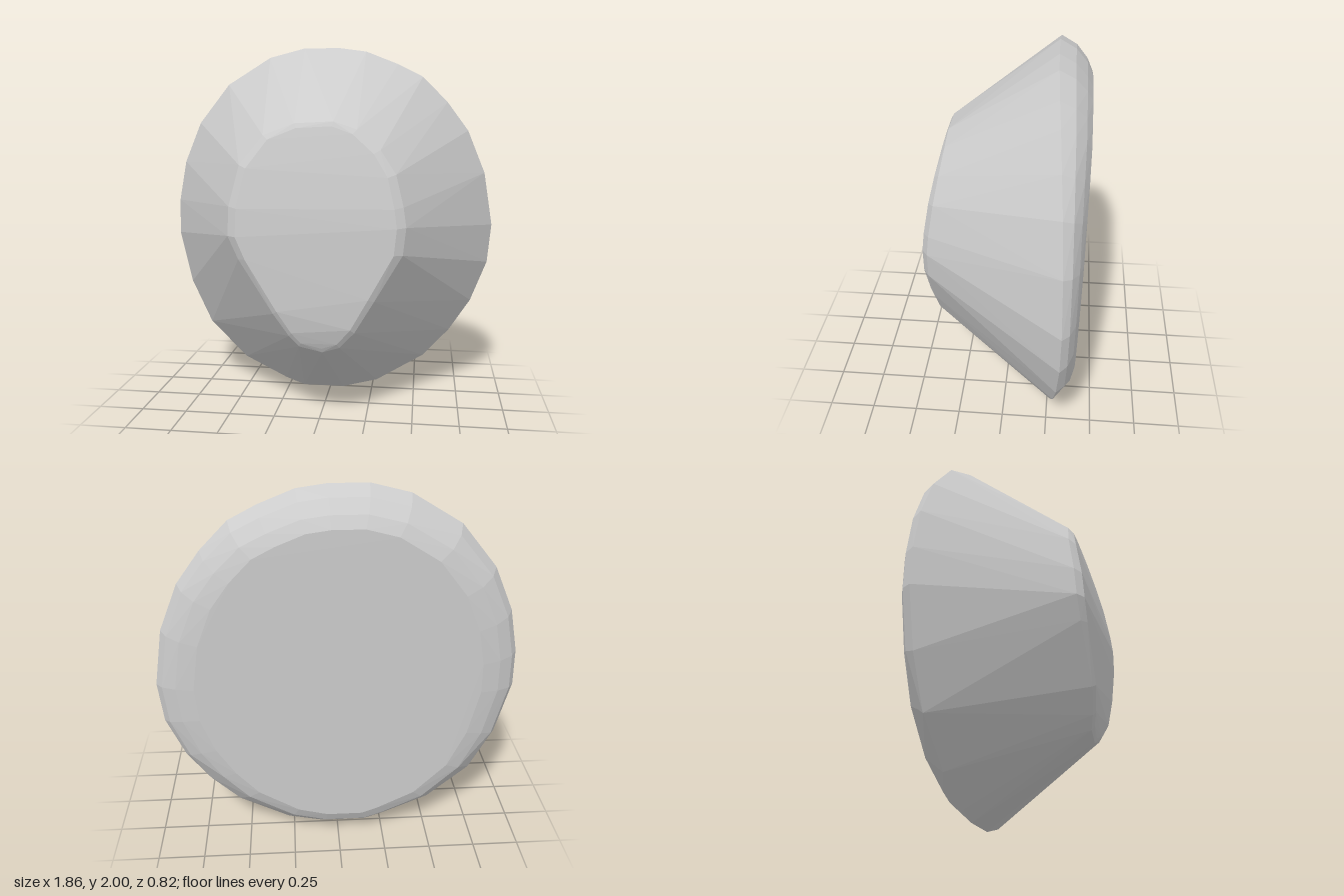
import * as THREE from 'three';
import { ConvexGeometry } from 'three/addons/geometries/ConvexGeometry.js';

// Outline of the wide rim, clockwise from the top (x, y)
const RIM = [
  [-0.15, 2], [0.05, 2], [0.2, 1.98], [0.38, 1.91], [0.52, 1.84], [0.66, 1.7], [0.78, 1.54],
  [0.88, 1.3], [0.93, 1], [0.91, 0.78], [0.82, 0.55], [0.7, 0.37], [0.55, 0.21], [0.28, 0.05],
  [0.08, 0], [-0.16, 0], [-0.27, 0.04], [-0.52, 0.16], [-0.74, 0.37], [-0.86, 0.62],
  [-0.93, 0.92], [-0.925, 1.12], [-0.88, 1.35], [-0.78, 1.58], [-0.6, 1.8], [-0.35, 1.95],
];

// Egg-shaped outline of the small front face (x, y)
const FACE = [
  [-0.12, 1.59], [0.08, 1.6], [0.2, 1.56], [0.32, 1.46], [0.4, 1.34], [0.44, 1.18],
  [0.455, 1.08], [0.44, 0.94], [0.3, 0.7], [0.2, 0.53], [0.12, 0.44], [0.03, 0.41],
  [-0.09, 0.44], [-0.14, 0.5], [-0.22, 0.62], [-0.4, 0.9], [-0.455, 1.02], [-0.45, 1.17],
  [-0.4, 1.38], [-0.28, 1.53],
];

// Front face bows back toward its top and bottom
function faceZ(y) {
  if (y > 1.04) return 0.41 - 0.1 * ((y - 1.04) / 0.55) ** 1.5;
  if (y < 0.66) return 0.41 - 0.06 * ((0.66 - y) / 0.25) ** 2;
  return 0.41;
}

// Rim dips back at the sides, slightly more on the left
const rimZ = (x) => -0.24 - 0.06 * (x / 0.93) ** 2 - 0.015 * x;

// Back plate is a little deeper above than below
const backZ = (x, y) => -0.39 - 0.02 * Math.min(1, y / 1.2) + 0.015 * Math.max(0, Math.abs(x) - 0.45) / 0.35;

// Scale an outline about (0, 1) and give each point a depth
function ring(outline, sx, sy, depth) {
  return outline.map(([px, py]) => {
    const x = px * sx;
    const y = 1 + (py - 1) * sy;
    return new THREE.Vector3(x, y, depth(x, y, px));
  });
}

export function createModel() {
  const group = new THREE.Group();
  const material = new THREE.MeshStandardMaterial({ color: 0xcccccc, flatShading: true });

  // Faceted stone: front face, bevelled edge, flared sides, rounded rim, back plate
  const points = [
    ...ring(FACE, 0.9, 0.96, (x, y) => faceZ(y)),
    ...ring(FACE, 1, 1, (x, y) => faceZ(y) - 0.03 * Math.abs(x) / 0.45),
    ...ring(RIM, 1, 1, rimZ),
    ...ring(RIM, 0.965, 0.955, (x, y, px) => THREE.MathUtils.lerp(rimZ(px), backZ(x, y), y > 0.4 ? 0.48 : 0.3)),
    ...ring(RIM, 0.89, 0.89, (x, y, px) => THREE.MathUtils.lerp(rimZ(px), backZ(x, y), 0.82)),
    ...ring(RIM, 0.79, 0.83, backZ),
  ];
  const stone = new THREE.Mesh(new ConvexGeometry(points), material);
  stone.name = 'facetedStone';
  group.add(stone);
  return group;
}
